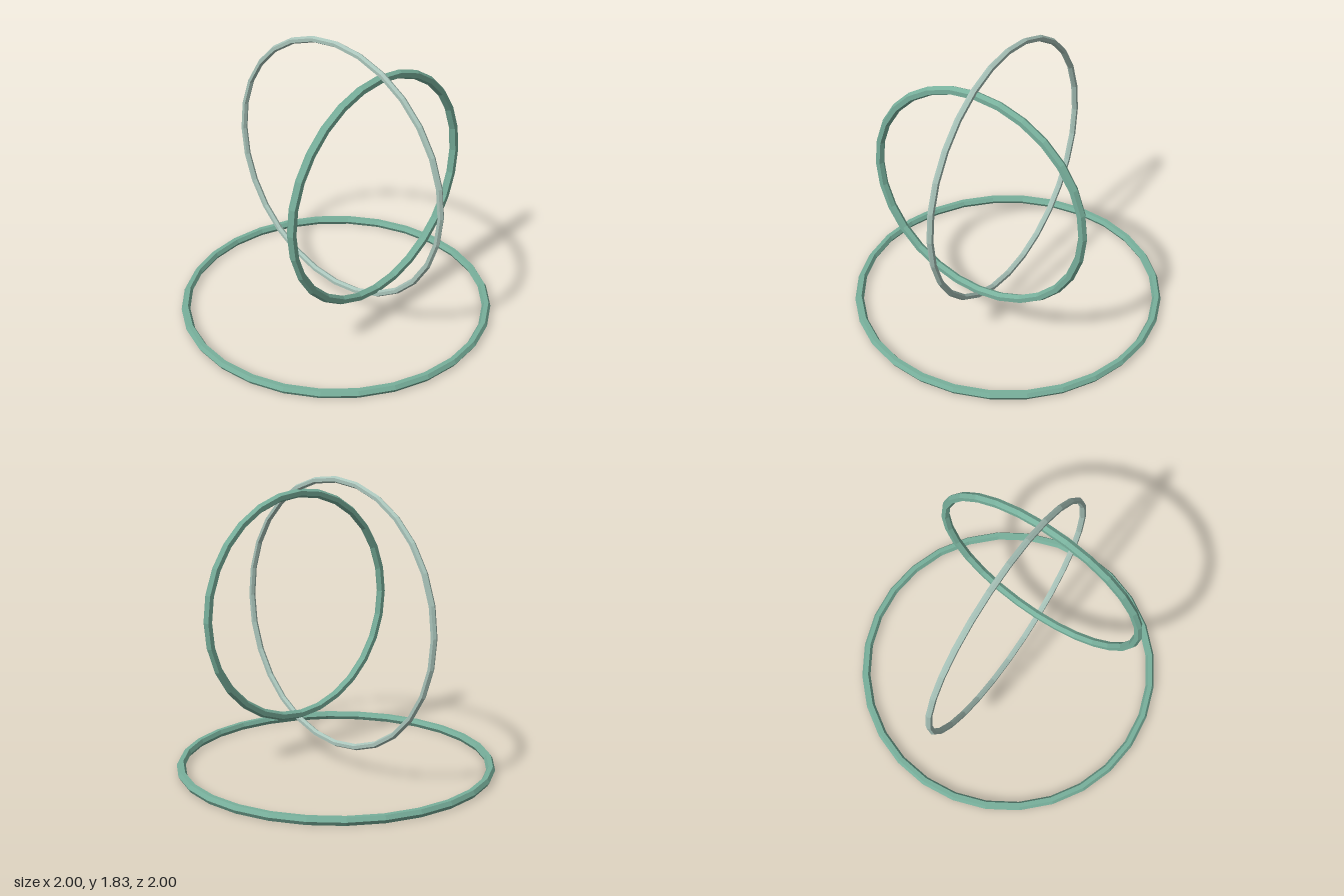
import * as THREE from 'three';

const green = new THREE.MeshStandardMaterial({ color: 0x78b09c, flatShading: true });
const paleGreen = new THREE.MeshStandardMaterial({ color: 0xa9c4ba, flatShading: true });

// Low-poly ring with a hexagonal tube, lying in the xy plane
function ring(name, outerRadius, tube, material) {
  const mesh = new THREE.Mesh(new THREE.TorusGeometry(outerRadius - tube, tube, 6, 28), material);
  mesh.name = name;
  return mesh;
}

export function createModel() {
  const group = new THREE.Group();
  group.name = 'threeRings';
  const tube = 0.028;
  const centreY = 0.976;

  // Large ring lying flat on the ground
  const groundRing = ring('groundRing', 1, tube, green);
  groundRing.rotation.x = -Math.PI / 2;
  groundRing.position.y = tube * Math.sin(Math.PI / 3);

  // Upright ring facing the front, set forward
  const frontRing = ring('frontRing', 0.745, tube, green);
  frontRing.position.set(0, centreY, 0.345);

  // Thin upright ring facing the sides
  const sideRing = ring('sideRing', 0.85, 0.02, paleGreen);
  sideRing.rotation.y = Math.PI / 2;
  sideRing.position.y = centreY;

  group.add(groundRing, frontRing, sideRing);
  return group;
}
